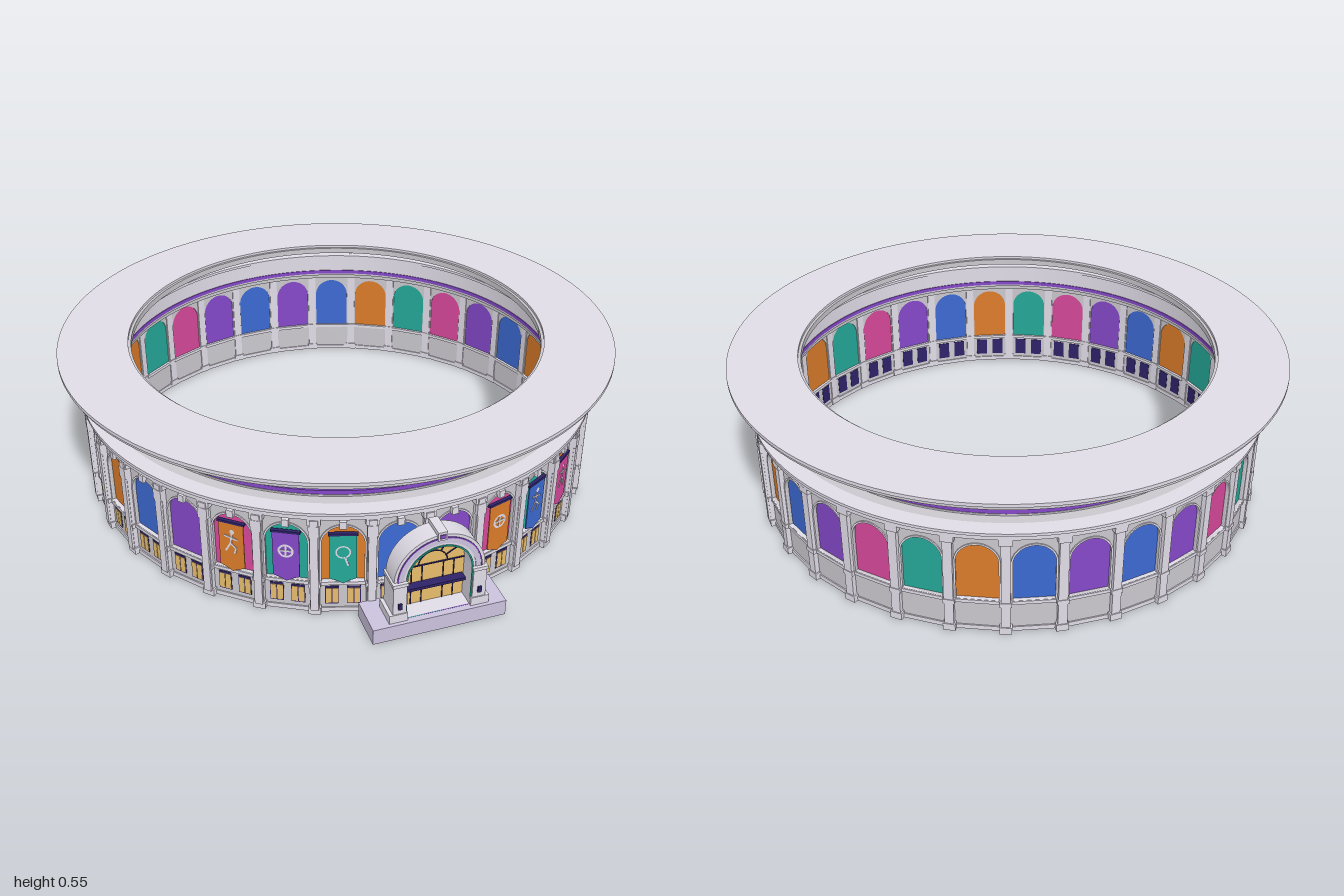
import * as THREE from 'three';
import { toCreasedNormals } from 'three/addons/utils/BufferGeometryUtils.js';

const paint = (name, color) => {
  const m = new THREE.MeshStandardMaterial({ color });
  m.name = name;
  return m;
};

export function createModel() {
  const stone = paint('pale stone', 0xe0dce7), grey = paint('grey stone', 0xcac8cd), lavender = paint('lavender', 0xcbc2dd);
  const purple = paint('purple', 0x8448c8), magenta = paint('magenta', 0xd6489a), teal = paint('teal', 0x24a898);
  const orange = paint('orange', 0xdc7c2a), blue = paint('blue', 0x3c69d2);
  const glass = paint('amber glass', 0xe6bc6c), navy = paint('navy', 0x2e2268);

  const model = new THREE.Group();
  model.name = 'arena';
  const arena = new THREE.Group();
  arena.name = 'ring';
  arena.position.z = -0.022;
  model.add(arena);

  const add = (parent, name, geo, mat, x = 0, y = 0, z = 0) => {
    const m = new THREE.Mesh(geo, mat);
    m.name = name;
    m.position.set(x, y, z);
    parent.add(m);
    return m;
  };
  // y is the bottom of the box
  const box = (parent, name, mat, w, h, d, x, y, z) =>
    add(parent, name, new THREE.BoxGeometry(w, h, d), mat, x, y + h / 2, z);
  // group on the ring, its local +z pointing outwards
  const spoke = (name, angle, r) => {
    const g = new THREE.Group();
    g.name = name;
    g.rotation.y = angle;
    g.position.set(r * Math.sin(angle), 0, r * Math.cos(angle));
    arena.add(g);
    return g;
  };
  // ring of rectangular section
  const ring = (name, mat, r0, r1, y0, y1) => {
    const p = [[r0, y0], [r1, y0], [r1, y1], [r0, y1], [r0, y0]].map(([x, y]) => new THREE.Vector2(x, y));
    add(arena, name, toCreasedNormals(new THREE.LatheGeometry(p, 128), 0.6), mat);
  };
  const extrude = (shape, depth) =>
    new THREE.ExtrudeGeometry(shape, { depth, bevelEnabled: false, curveSegments: 18 });
  const polygon = pts => new THREE.Shape(pts.map(([x, y]) => new THREE.Vector2(x, y)));
  const archPath = (path, half, y0, spring) => {
    path.moveTo(-half, y0);
    path.lineTo(half, y0);
    path.lineTo(half, spring);
    path.absarc(0, spring, half, 0, Math.PI, false);
    path.lineTo(-half, y0);
    return path;
  };

  // Shared bay shapes
  const BAYS = 32, STEP = (2 * Math.PI) / BAYS, R = 0.875, BAY_SPRING = 0.265;
  const wallShape = polygon([[-0.087, 0], [0.087, 0], [0.087, 0.385], [-0.087, 0.385]]);
  wallShape.holes.push(archPath(new THREE.Path(), 0.067, 0.12, BAY_SPRING));
  const wallGeo = extrude(wallShape, 0.018).translate(0, 0, -0.009);
  const panelGeo = extrude(archPath(new THREE.Shape(), 0.068, 0.118, BAY_SPRING), 0.005).translate(0, 0, -0.006);
  const trimShape = archPath(new THREE.Shape(), 0.072, 0.12, BAY_SPRING);
  trimShape.holes.push(archPath(new THREE.Path(), 0.066, 0.121, BAY_SPRING));
  const trimGeo = extrude(trimShape, 0.004);
  const bannerGeo = extrude(polygon([[-0.042, 0.138], [-0.02, 0.13], [0, 0.118], [0.02, 0.13],
    [0.042, 0.138], [0.042, 0.302], [-0.042, 0.302]]), 0.004);

  // Pale emblems on the banners
  const stick = (g, x0, y0, x1, y1) => {
    const m = add(g, 'emblemStroke', new THREE.BoxGeometry(0.006, Math.hypot(x1 - x0, y1 - y0), 0.002), stone,
      (x0 + x1) / 2, (y0 + y1) / 2, 0.021);
    m.rotation.z = -Math.atan2(x1 - x0, y1 - y0);
  };
  const emblem = {
    wheel(g) {
      add(g, 'emblemRing', new THREE.RingGeometry(0.018, 0.025, 24), stone, 0, 0.235, 0.0215);
      stick(g, -0.02, 0.235, 0.02, 0.235);
      stick(g, 0, 0.215, 0, 0.255);
    },
    racket(g) {
      add(g, 'emblemRing', new THREE.RingGeometry(0.019, 0.024, 24), stone, 0, 0.24, 0.0215);
      stick(g, 0.006, 0.219, 0.016, 0.188);
    },
    athlete(g) {
      add(g, 'emblemHead', new THREE.CircleGeometry(0.008, 12), stone, 0.004, 0.272, 0.0215);
      [[0.003, 0.264, -0.002, 0.228], [-0.022, 0.254, 0.022, 0.244], [-0.002, 0.228, 0.016, 0.212],
        [0.016, 0.212, 0.01, 0.19], [-0.002, 0.228, -0.02, 0.196]].forEach(s => stick(g, ...s));
    },
  };
  const banners = { 1: [orange, 'wheel'], 2: [blue, 'athlete'], 3: [magenta, 'athlete'],
    28: [orange, 'athlete'], 29: [purple, 'wheel'], 30: [teal, 'racket'] };

  // Bays and pilasters
  const cycle = [blue, purple, magenta, teal, orange];
  for (let k = 0; k < BAYS; k++) {
    const bay = spoke('bay', (k + 0.5) * STEP, R);
    const front = k < 8 || k >= 24;
    add(bay, 'bayWall', wallGeo, grey);
    add(bay, 'archPanel', panelGeo, cycle[(k < 16 ? k + 1 : k - 16) % 5]);
    add(bay, 'archTrim', trimGeo, stone, 0, 0, 0.009);
    box(bay, 'sill', stone, 0.15, 0.012, 0.032, 0, 0.108, 0);
    box(bay, 'plinth', stone, 0.16, 0.016, 0.026, 0, 0, 0);
    if (front) {
      for (const x of [-0.034, 0.034]) {
        box(bay, 'windowFrame', navy, 0.044, 0.07, 0.021, x, 0.03, 0);
        for (const s of [-1, 1]) box(bay, 'windowPane', glass, 0.018, 0.058, 0.002, x + s * 0.0105, 0.034, 0.011);
      }
      box(bay, 'keystone', stone, 0.022, 0.026, 0.02, 0, 0.328, 0.014);
    }
    if (banners[k]) {
      const [mat, kind] = banners[k];
      add(bay, 'banner', bannerGeo, mat, 0, 0, 0.016);
      box(bay, 'bannerRail', navy, 0.092, 0.008, 0.012, 0, 0.302, 0.016);
      emblem[kind](bay);
    }
    const pil = spoke('pilaster', k * STEP, 0.884);
    box(pil, 'shaft', stone, 0.03, 0.38, 0.038, 0, 0, 0);
    box(pil, 'base', stone, 0.04, 0.025, 0.044, 0, 0, 0);
    box(pil, 'belt', stone, 0.038, 0.016, 0.042, 0, 0.106, 0);
    box(pil, 'capital', stone, 0.042, 0.024, 0.044, 0, 0.345, 0);
    // front pilasters carry a deeper column
    if (front || k === 8) {
      box(pil, 'column', stone, 0.026, 0.345, 0.012, 0, 0.02, 0.02);
      box(pil, 'bracket', stone, 0.034, 0.04, 0.014, 0, 0.305, 0.02);
    }
  }

  // Cornice, deck and upper tier
  ring('cornice', stone, 0.87, 0.908, 0.369, 0.386);
  ring('corniceLip', stone, 0.86, 0.914, 0.386, 0.396);
  ring('deck', grey, 0.795, 0.87, 0.376, 0.394);
  ring('upperTier', stone, 0.79, 0.81, 0.394, 0.476);
  ring('tierCap', stone, 0.784, 0.817, 0.472, 0.482);
  ring('tierFoot', grey, 0.788, 0.822, 0.392, 0.4);
  ring('purpleBand', purple, 0.787, 0.82, 0.4, 0.414);
  for (let i = 0; i < 48; i++) {
    const g = spoke('tierWindow', ((i - 23.5) / 23.5) * 1.36, 0.81);
    box(g, 'tierPane', glass, 0.025, 0.025, 0.003, 0, 0.425, 0);
  }

  // Roof ring with struts and lamps
  ring('roof', stone, 0.735, 0.977, 0.538, 0.55);
  ring('roofUnderside', grey, 0.732, 0.97, 0.525, 0.539);
  ring('roofPurpleLine', purple, 0.949, 0.961, 0.519, 0.526);
  ring('roofInnerLip', grey, 0.725, 0.738, 0.52, 0.541);
  for (let i = 0; i < 16; i++) {
    const g = spoke('strut', i * Math.PI / 8, 0.85);
    const bar = add(g, 'strutBar', new THREE.CylinderGeometry(0.004, 0.004, 0.112, 8), grey, 0, 0.501, 0);
    bar.rotation.x = Math.atan2(0.1, 0.05);
  }
  for (let i = 0; i < 32; i++) {
    const g = spoke('roofLamp', (i + 0.5) * STEP, 0.925);
    box(g, 'lampHead', grey, 0.012, 0.01, 0.012, 0, 0.516, 0);
  }

  // Entrance
  const gate = new THREE.Group();
  gate.name = 'entrance';
  model.add(gate);
  box(gate, 'podium', lavender, 0.44, 0.055, 0.135, 0, 0, 0.9325);
  const SPRING = 0.198, OPENING = 0.104;
  const gateRing = (name, mat, outer, inner, depth, z) => {
    const s = archPath(new THREE.Shape(), outer, 0.055, SPRING);
    // the hole stops just above the base line
    s.holes.push(archPath(new THREE.Path(), inner, 0.0555, SPRING));
    add(gate, name, toCreasedNormals(extrude(s, depth), 0.6), mat, 0, 0, z);
  };
  gateRing('gateArch', stone, 0.148, OPENING, 0.07, 0.906);
  gateRing('gateArchBand', lavender, 0.134, 0.117, 0.003, 0.975);
  gateRing('gateArchLine', purple, 0.138, 0.134, 0.004, 0.975);
  gateRing('gateArchInnerLine', teal, 0.109, OPENING, 0.004, 0.975);
  add(gate, 'gateGlass', extrude(archPath(new THREE.Shape(), OPENING + 0.002, 0.055, SPRING), 0.045), glass, 0, 0, 0.875);
  for (const s of [-1, 1]) {
    box(gate, 'gatePier', stone, 0.044, 0.135, 0.08, s * 0.13, 0.055, 0.945);
    box(gate, 'pierBase', stone, 0.06, 0.03, 0.086, s * 0.134, 0.055, 0.945);
    box(gate, 'pierCap', stone, 0.05, 0.012, 0.086, s * 0.13, 0.188, 0.945);
    box(gate, 'pierLamp', navy, 0.012, 0.02, 0.008, s * 0.13, 0.105, 0.988);
  }
  box(gate, 'gateKeystone', stone, 0.03, 0.03, 0.08, 0, 0.33, 0.943);
  box(gate, 'keystoneFace', purple, 0.018, 0.014, 0.004, 0, 0.338, 0.984);

  // Glazing bars and canopy
  for (const x of [-0.07, -0.035, 0.035, 0.07]) box(gate, 'doorBar', navy, 0.003, 0.145, 0.004, x, 0.055, 0.921);
  box(gate, 'transom', navy, 0.206, 0.004, 0.004, 0, SPRING, 0.921);
  box(gate, 'canopy', navy, 0.2, 0.01, 0.03, 0, 0.128, 0.934);
  for (let i = 1; i < 6; i++) {
    const a = i * Math.PI / 6;
    const bar = add(gate, 'fanBar', new THREE.BoxGeometry(0.056, 0.003, 0.004), navy,
      Math.cos(a) * 0.076, SPRING + Math.sin(a) * 0.076, 0.921);
    bar.rotation.z = a;
  }
  add(gate, 'fanArc', new THREE.TorusGeometry(0.048, 0.002, 6, 24, Math.PI), navy, 0, SPRING, 0.921);
  return model;
}
